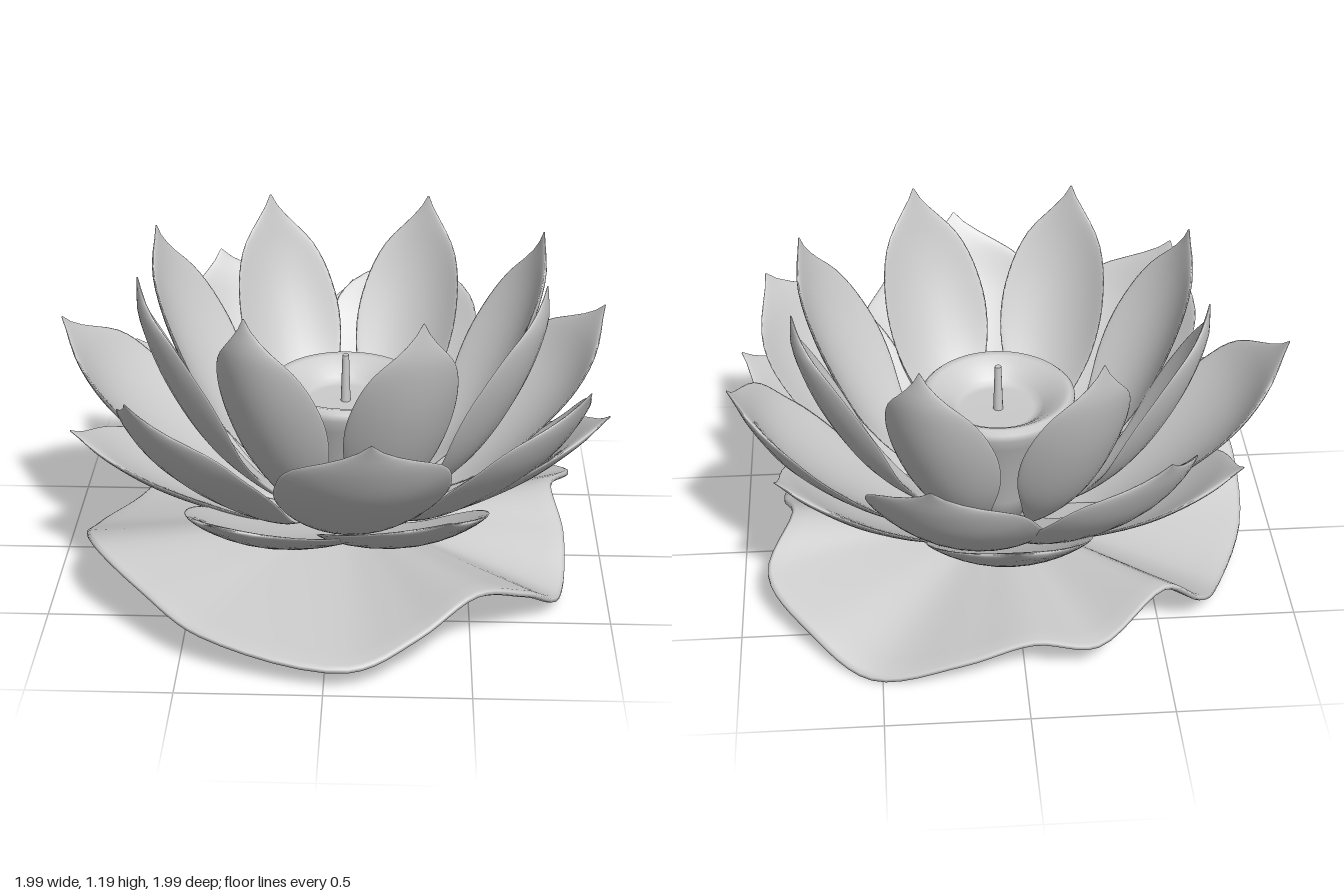
import * as THREE from 'three';

const material = new THREE.MeshStandardMaterial({ color: 0xcccccc, side: THREE.DoubleSide });
const V = (x, y, z) => new THREE.Vector3(x, y, z);
const rad = THREE.MathUtils.degToRad;

// Skin a list of closed rings (arrays of Vector3, all the same length)
function loft(rings) {
  const n = rings[0].length, index = [];
  for (let i = 0; i < rings.length - 1; i++) {
    for (let j = 0; j < n; j++) {
      const a = i * n + j, b = i * n + (j + 1) % n;
      index.push(a, b, a + n, b, b + n, a + n);
    }
  }
  const geo = new THREE.BufferGeometry().setFromPoints(rings.flat());
  geo.setIndex(index);
  geo.computeVertexNormals();
  return geo;
}

// Cupped petal along a spine of [radius, height] points; outline lists its
// relative half-widths at equal steps from base to tip
function petalGeometry({ spine, outline, width, cup }) {
  const curve = new THREE.CatmullRomCurve3(spine.map(([r, y]) => V(0, y, r)));
  const swell = new THREE.SplineCurve(outline.map((w, i) => new THREE.Vector2(i, w)));
  const rings = [], steps = 30, sides = 28;
  for (let i = 0; i <= steps; i++) {
    const t = i / steps;
    const p = curve.getPointAt(t), d = curve.getTangentAt(t);
    const w = width * swell.getPoint(t).y + 0.003;
    const thick = 0.015 * Math.min(1, (1 - t) * 8 + 0.15);
    const ring = [];
    for (let j = 0; j < sides; j++) {
      const a = (j / sides) * Math.PI * 2;
      const x = w * Math.cos(a);
      const lift = cup * (x / width) ** 2 + thick * Math.sin(a);
      ring.push(V(x, p.y + d.z * lift, p.z - d.y * lift));
    }
    rings.push(ring);
  }
  const cap = (ring) => {
    const c = ring.reduce((s, p) => s.add(p), V(0, 0, 0)).divideScalar(ring.length);
    return ring.map(() => c.clone());
  };
  return loft([cap(rings[0]), ...rings, cap(rings[steps])]);
}

// Ring of petals from [angle, tip radius, tip height]; the form's spine runs
// from the base [0, 0] to the tip [1, 1]
function addPetals(flower, name, petals, form) {
  const baseR = 0.1, baseY = 0.18;
  for (const [angle, r, y] of petals) {
    const spine = form.spine.map(([u, v]) => [baseR + u * (r - baseR), baseY + v * (y - baseY)]);
    const mesh = new THREE.Mesh(petalGeometry({ ...form, spine }), material);
    mesh.name = name;
    mesh.rotation.y = rad(angle);
    flower.add(mesh);
  }
}

// Wavy floating leaf; rim given as [angle, radius, height]
function leafGeometry() {
  const rim = [
    [5, 0.98, 0.09], [20, 0.93, 0.16], [35, 0.9, 0.25], [50, 0.91, 0.17], [65, 0.91, 0.05],
    [82, 0.86, 0.16], [97, 0.82, 0.25], [112, 0.97, 0.18], [128, 0.96, 0.1], [145, 0.94, 0.02],
    [165, 0.84, 0.1], [182, 0.79, 0.16], [198, 0.82, 0.13], [218, 0.81, 0.26],
    [230, 0.85, 0.13], [243, 0.83, 0.06], [270, 0.88, 0.11], [300, 0.96, 0.29],
    [318, 0.95, 0.23], [334, 0.96, 0.15],
  ];
  const edge = new THREE.CatmullRomCurve3(
    rim.map(([a, r, y]) => V(r * Math.sin(rad(a)), y, r * Math.cos(rad(a)))), true);
  const outline = edge.getPoints(120).slice(0, -1);
  const centre = V(0.04, 0.16, -0.02), thick = 0.014;
  const ringAt = (t, dy) => outline.map((p) => V(
    THREE.MathUtils.lerp(centre.x, p.x, t),
    THREE.MathUtils.lerp(centre.y, p.y, Math.pow(t, 1.4)) + dy,
    THREE.MathUtils.lerp(centre.z, p.z, t)));
  const rings = [], steps = 14;
  for (let i = 0; i <= steps; i++) rings.push(ringAt((i / steps) * 0.985, -thick));
  rings.push(ringAt(1, -thick * 0.5), ringAt(1, thick * 0.5));
  for (let i = steps; i >= 0; i--) rings.push(ringAt((i / steps) * 0.985, thick));
  return loft(rings);
}

export function createModel() {
  const model = new THREE.Group();
  model.name = 'waterLily';

  const leaf = new THREE.Mesh(leafGeometry(), material);
  leaf.name = 'leaf';
  model.add(leaf);

  const flower = new THREE.Group();
  flower.name = 'flower';
  flower.position.set(0.045, 0, -0.015);
  model.add(flower);

  // Upright inner petals, slender at the base
  addPetals(flower, 'innerPetal', [
    [23, 0.7, 1.2], [67, 0.755, 1.2], [109, 0.755, 1.2], [155, 0.7, 1.2],
    [206, 0.7, 1.2], [249, 0.755, 1.2], [290, 0.755, 1.2], [333, 0.7, 1.2],
  ], {
    spine: [[0, 0], [0.34, 0.16], [0.62, 0.35], [0.85, 0.61], [0.97, 0.84], [1, 1]],
    outline: [0.15, 0.22, 0.62, 0.95, 1, 0.74, 0],
    width: 0.195, cup: 0.075,
  });

  // Broad, round middle petals
  addPetals(flower, 'middlePetal', [
    [6.5, 0.98, 0.915], [57, 1, 0.915], [105, 0.985, 0.915], [163, 0.94, 0.915],
    [213, 0.95, 0.915], [266, 1.04, 0.915], [314, 0.99, 0.915],
  ], {
    spine: [[0, 0], [0.42, 0.22], [0.8, 0.6], [1, 1]],
    outline: [0.12, 0.25, 0.68, 0.95, 1, 0.82, 0],
    width: 0.295, cup: 0.085,
  });

  // Low, pointed outer petals
  addPetals(flower, 'outerPetal', [
    [-22, 1.07, 0.63], [20, 1.07, 0.66], [72, 0.98, 0.72], [121, 0.93, 0.68],
    [180, 0.98, 0.72], [240, 0.95, 0.66], [287, 1.01, 0.63],
  ], {
    spine: [[0, 0], [0.34, 0.2], [0.7, 0.55], [1, 1]],
    outline: [0.12, 0.4, 0.83, 1, 0.93, 0.62, 0],
    width: 0.285, cup: 0.07,
  });

  // Seed pod with a rounded rim and a dished top
  const podProfile = [
    [0, 0.17], [0.1, 0.18], [0.14, 0.3], [0.2, 0.48], [0.26, 0.62], [0.28, 0.67], [0.278, 0.695],
    [0.262, 0.71], [0.24, 0.705], [0.2, 0.68], [0.165, 0.65], [0.15, 0.635], [0.13, 0.63], [0, 0.63],
  ].map(([r, y]) => new THREE.Vector2(r, y));
  const pod = new THREE.Mesh(new THREE.LatheGeometry(podProfile, 48), material);
  pod.name = 'seedPod';
  flower.add(pod);

  // Pistil
  const pistil = new THREE.Mesh(new THREE.CylinderGeometry(0.012, 0.018, 0.18, 12), material);
  pistil.name = 'pistil';
  pistil.position.y = 0.72;
  flower.add(pistil);

  return model;
}
